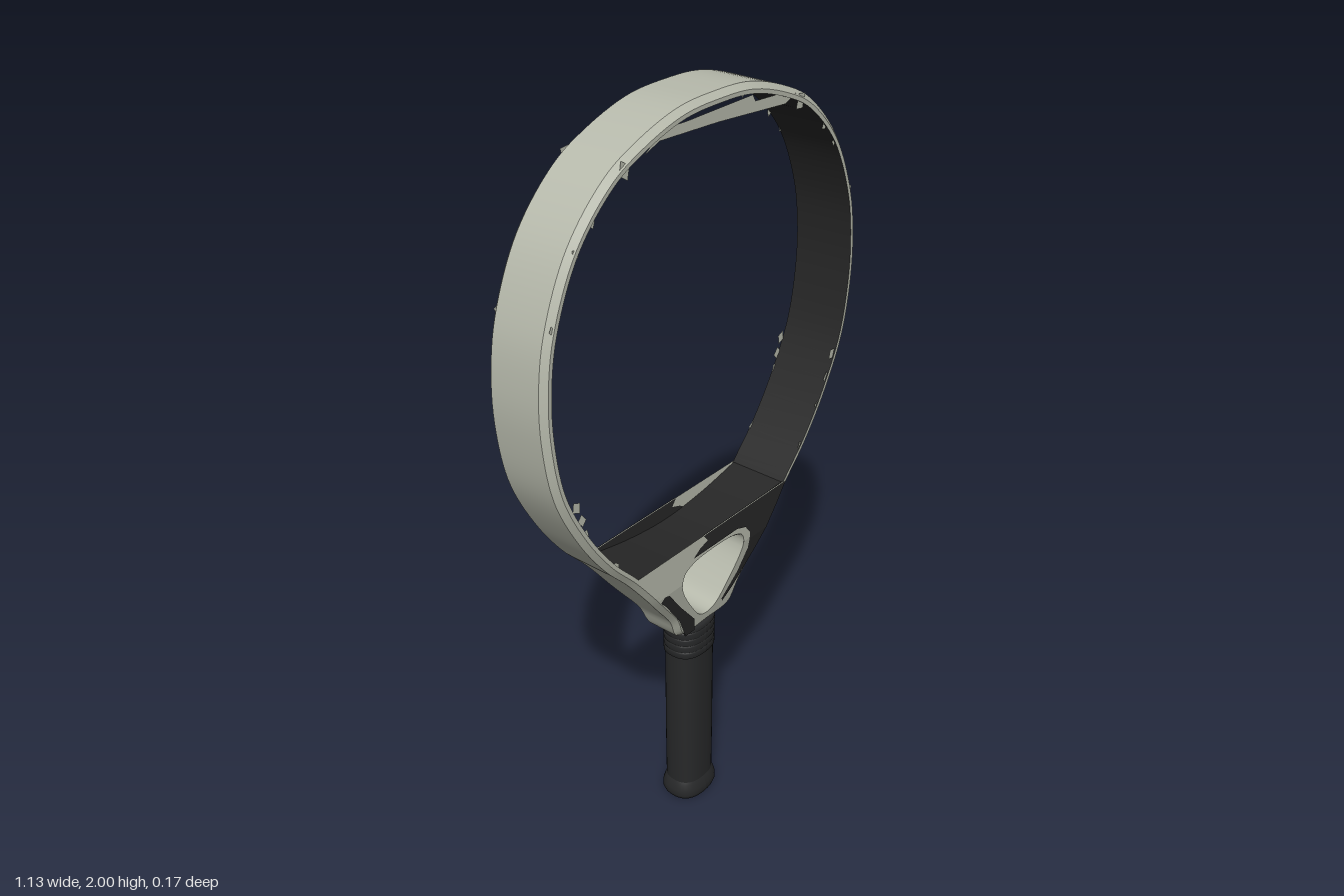
import * as THREE from 'three';
import { mergeGeometries } from 'three/addons/utils/BufferGeometryUtils.js';

const V2 = (p) => new THREE.Vector2(p[0], p[1]);

// Half depth of the frame: constant, tapering towards the neck below KINK
const KINK = 0.8;
const halfDepth = (y) => 0.083 - 0.027 * THREE.MathUtils.clamp((KINK - y) / 0.2, 0, 1);

// Outer outline of the frame, clockwise from the top
const half = [[0.12, 1.993], [0.25, 1.955], [0.35, 1.905], [0.465, 1.79], [0.54, 1.63], [0.563, 1.5], [0.562, 1.38],
  [0.535, 1.235], [0.465, 1.09], [0.385, 0.975], [0.307, 0.89], [0.2, 0.755], [0.137, 0.675], [0.1, 0.607]];
const loop = [[0, 2], ...half, [0, 0.6], ...half.map(([x, y]) => [-x, y]).reverse()];
const curve = new THREE.CatmullRomCurve3(loop.map(([x, y]) => new THREE.Vector3(x, y, 0)), true, 'centripetal');
const N = 180;
const outline = (inset) => Array.from({ length: N }, (_, i) => {
  const p = curve.getPointAt(i / N), t = curve.getTangentAt(i / N);
  return [p.x + t.y * inset, p.y - t.x * inset];
});

// Indexed strip between two rows of points
function strip(a, b, closed) {
  const n = a.length, index = [];
  for (let i = 0; i < (closed ? n : n - 1); i++) {
    const j = (i + 1) % n;
    index.push(i, j, n + i, j, n + j, n + i);
  }
  const g = new THREE.BufferGeometry();
  g.setAttribute('position', new THREE.Float32BufferAttribute([...a, ...b].flat(), 3));
  g.setIndex(index);
  g.computeVertexNormals();
  return g;
}

// Keep the part of a polygon on one side of the kink line
function clip(poly, sign) {
  const out = [];
  poly.forEach((p, i) => {
    const q = poly[(i + 1) % poly.length];
    const dp = sign * (p[1] - KINK), dq = sign * (q[1] - KINK);
    if (dp >= 0) out.push(p);
    if (dp * dq < 0) {
      const t = dp / (dp - dq);
      out.push([p[0] + (q[0] - p[0]) * t, KINK]);
    }
  });
  return out;
}

// Flat shape folded onto the tapered front of the frame
function facePlate(shape, offset) {
  const pos = new THREE.ShapeGeometry(shape, 8).toNonIndexed().attributes.position;
  const verts = [];
  for (let i = 0; i < pos.count; i += 3) {
    const tri = [0, 1, 2].map((k) => [pos.getX(i + k), pos.getY(i + k)]);
    for (const sign of [1, -1]) {
      const poly = clip(tri, sign);
      for (let k = 1; k + 1 < poly.length; k++) {
        for (const p of [poly[0], poly[k], poly[k + 1]]) verts.push(p[0], p[1], halfDepth(p[1]) + offset);
      }
    }
  }
  const g = new THREE.BufferGeometry();
  g.setAttribute('position', new THREE.Float32BufferAttribute(verts, 3));
  g.computeVertexNormals();
  return g;
}

export function createModel() {
  const model = new THREE.Group();
  const mat = (name, color, side = THREE.FrontSide) => {
    const m = new THREE.MeshStandardMaterial({ color, side });
    m.name = name;
    return m;
  };
  const grey = mat('warm grey', 0xb7baac, THREE.DoubleSide);
  const black = mat('black', 0x272727, THREE.DoubleSide);
  const add = (parent, name, geometry, material) => {
    const m = new THREE.Mesh(geometry, material);
    m.name = name;
    parent.add(m);
    return m;
  };

  // Frame: bands swept round the outline, grey outside and black inside
  const section = [[0.024, 1, 0], [0.014, 1, 0], [0, 1, -0.014], [0, -1, 0.014], [0.014, -1, 0], [0.024, -1, 0], [0.024, 1, 0]];
  const rows = section.map(([inset, s, dz]) => outline(inset).map(([x, y]) => [x, y, s * halfDepth(y) + dz]));
  const bands = rows.slice(1).map((row, i) => strip(rows[i], row, true));
  add(model, 'frameInnerWall', bands.pop(), black);
  add(model, 'frame', mergeGeometries(bands), grey);

  // Bridge: shallow curved floor of the hoop
  const dip = new THREE.SplineCurve([[-0.3, 0.905], [-0.15, 0.875], [0, 0.862], [0.15, 0.875], [0.3, 0.905]].map(V2)).getPoints(24);
  add(model, 'bridge', strip(dip.map((p) => [p.x, p.y, 0.081]), dip.map((p) => [p.x, p.y, -0.081]), false), black);

  // Throat opening, a rounded triangle
  const holePts = new THREE.CatmullRomCurve3(
    [[-0.124, 0.79], [-0.115, 0.825], [-0.08, 0.842], [0, 0.848], [0.08, 0.842], [0.115, 0.825], [0.12, 0.785],
      [0.065, 0.685], [0.03, 0.645], [0, 0.636], [-0.03, 0.645], [-0.065, 0.685]]
      .map(([x, y]) => new THREE.Vector3(x, y, 0)), true, 'centripetal').getPoints(60).slice(0, 60).map((p) => [p.x, p.y]);
  const tunnel = strip(holePts.map(([x, y]) => [x, y, halfDepth(y)]), holePts.map(([x, y]) => [x, y, -halfDepth(y)]), true);
  add(model, 'throatOpening', tunnel, grey);
  const roof = holePts.filter(([, y]) => y > 0.825);
  add(model, 'throatOpeningRoof', strip(roof.map(([x, y]) => [x, y - 0.003, 0.08]), roof.map(([x, y]) => [x, y - 0.003, -0.08]), false), black);

  // Throat plate, painted patches and flakes; the back repeats the front, turned half round
  const throat = new THREE.Shape([[0.3, 0.905], ...outline(0.018).filter(([, y]) => y < 0.9), [-0.3, 0.905]].map(V2));
  throat.holes.push(new THREE.Path(holePts.map(V2)));
  const patches = [
    [[-0.045, 0.905], [0.295, 0.905], [0.26, 0.855], [0.18, 0.755], [0.1, 0.67], [0.06, 0.638], [0.055, 0.648],
      [0.11, 0.71], [0.142, 0.77], [0.145, 0.82], [0.125, 0.845], [0.09, 0.857], [-0.085, 0.858], [-0.06, 0.875], [-0.03, 0.885]],
    [[-0.208, 0.79], [-0.195, 0.802], [-0.178, 0.798], [-0.127, 0.73], [-0.055, 0.645], [-0.048, 0.604], [-0.085, 0.604],
      [-0.122, 0.68], [-0.185, 0.765]],
  ].map((p) => new THREE.Shape(p.map(V2)));
  const sliver = new THREE.Shape([[-0.24, 1.925], [-0.18, 1.965], [-0.1, 1.963], [0.12, 1.966], [0.13, 1.95],
    [0.22, 1.945], [0.28, 1.932], [0.24, 1.917], [0, 1.935], [-0.19, 1.943]].map(V2));
  const flakes = [[-0.3, 1.91, 0.025], [0.3, 1.91, 0.025], [-0.45, 1.78, 0.014], [-0.4, 1.83, 0.014], [0.4, 1.83, 0.014],
    [0.445, 1.78, 0.014], [-0.525, 1.64, 0.012], [0.522, 1.64, 0.012], [-0.48, 1.2, 0.02], [-0.465, 1.16, 0.018],
    [-0.455, 1.12, 0.014], [-0.36, 0.98, 0.016], [0.485, 1.2, 0.018], [0.465, 1.14, 0.016], [0.43, 1.07, 0.018], [0.36, 0.98, 0.014]];
  for (const [side, turn] of [['front', 0], ['back', Math.PI]]) {
    const g = new THREE.Group();
    g.name = side + 'Face';
    g.rotation.y = turn;
    model.add(g);
    add(g, 'throatPlate', facePlate(throat, 0), grey);
    add(g, 'throatPatches', mergeGeometries(patches.flatMap((p) => [facePlate(p, 0.002), facePlate(p, -0.002)])), black);
    add(g, 'topSliver', facePlate(sliver, -0.003), grey);
    add(g, 'edgeFlakes', mergeGeometries(flakes.map(([x, y, r], i) =>
      new THREE.CircleGeometry(r, 4, i).scale(0.7, 1, 1).rotateZ(-Math.sign(x) * 0.4).translate(x, y, 0.08))), grey);
  }

  // Handle: lathed profiles squashed to a rounded oval
  const ovalLathe = (pts) => {
    const g = new THREE.LatheGeometry(pts.map(V2), 40);
    const p = g.attributes.position;
    for (let i = 0; i < p.count; i++) {
      const x = p.getX(i), z = p.getZ(i), r = Math.hypot(x, z);
      if (r < 1e-6) continue;
      const k = r / Math.pow(Math.abs(x) ** 2.5 + Math.abs(z) ** 2.5, 0.4);
      p.setXYZ(i, x * k, p.getY(i), z * k * 0.8);
    }
    g.computeVertexNormals();
    return g;
  };
  const grip = mat('grip black', 0x272829);
  add(model, 'grip', ovalLathe([[0.066, 0.045], [0.067, 0.2], [0.067, 0.51]]), grip);
  add(model, 'buttCap', ovalLathe([[0, 0], [0.06, 0], [0.072, 0.006], [0.077, 0.018], [0.076, 0.035], [0.07, 0.052], [0.066, 0.06]]), grip);
  const ribs = [[0.066, 0.5]];
  for (let i = 0; i < 4; i++) {
    const y = 0.502 + i * 0.021;
    ribs.push([0.071, y], [0.072, y + 0.016], [0.069, y + 0.018], [0.069, y + 0.02]);
  }
  ribs.push([0.071, 0.587], [0.069, 0.602], [0, 0.602]);
  add(model, 'collar', ovalLathe(ribs), grip);

  return model;
}
